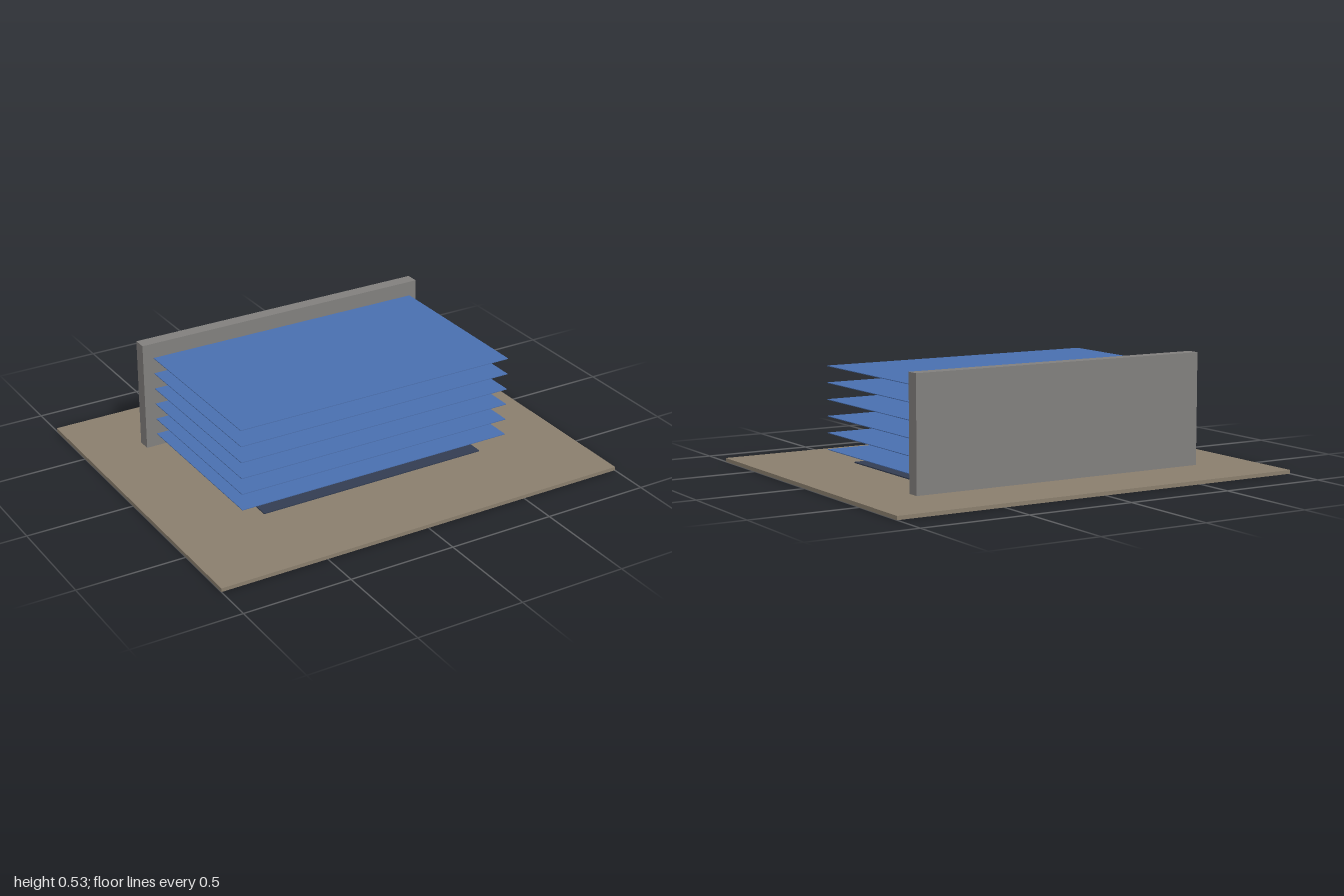
import * as THREE from 'three';

export function createModel() {
  const model = new THREE.Group();
  model.name = 'sheetStackOnBase';

  // Box given by its size, its underside height and its z centre
  const addBox = (name, color, w, h, d, bottom, z = 0) => {
    const mesh = new THREE.Mesh(
      new THREE.BoxGeometry(w, h, d),
      new THREE.MeshStandardMaterial({ color })
    );
    mesh.name = name;
    mesh.position.set(0, bottom + h / 2, z);
    model.add(mesh);
  };

  // Ground slab and the upright wall behind the stack
  addBox('base', 0x8b7f6e, 2, 0.017, 1.63, 0);
  addBox('backWall', 0x82807e, 1.45, 0.513, 0.062, 0.017, -0.455);

  // Dark mat lying on the base under the stack
  addBox('floorMat', 0x333d52, 1.12, 0.005, 0.76, 0.017);

  // Six evenly spaced floating sheets
  for (let i = 0; i < 6; i++) {
    addBox(`sheet${i + 1}`, 0x4a70b0, 1.36, 0.003, 0.815, 0.084 + i * 0.0762);
  }

  return model;
}
